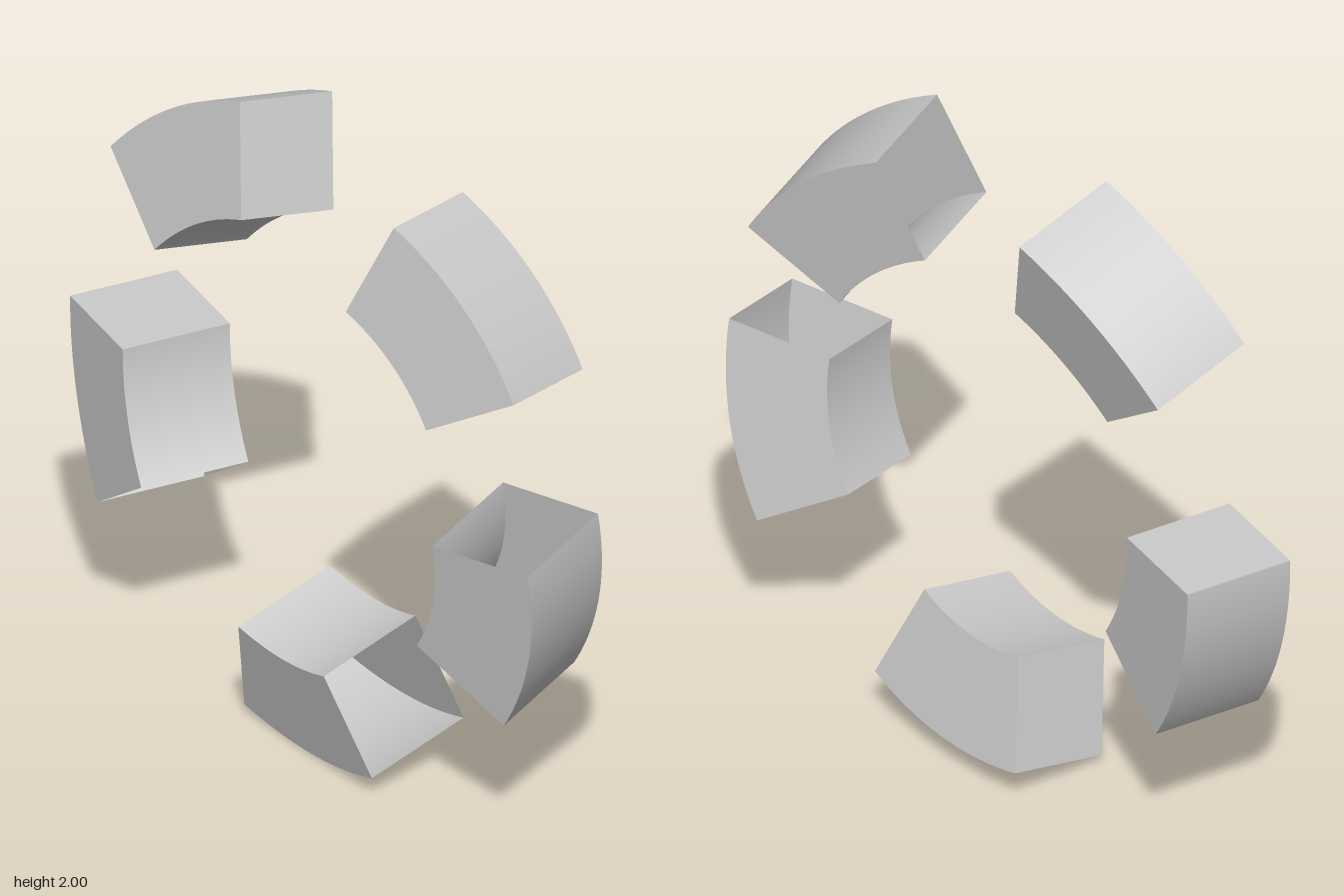
import * as THREE from 'three';
import { mergeGeometries } from 'three/addons/utils/BufferGeometryUtils.js';

const INNER = 0.69, OUTER = 1.03, SIZE = OUTER - INNER;
const HALF = THREE.MathUtils.degToRad(17.3);
const MID = (INNER + OUTER) / 2;

// Curved square duct about the x axis: open at +y, capped at -y, outer wall towards +z
function ductGeometry() {
  const parts = [];
  // curved walls
  for (const r of [INNER, OUTER]) {
    parts.push(new THREE.CylinderGeometry(r, r, SIZE, 24, 1, true, -HALF, 2 * HALF).rotateZ(Math.PI / 2));
  }
  // flat side walls
  for (const side of [-1, 1]) {
    parts.push(new THREE.RingGeometry(INNER, OUTER, 24, 1, -HALF, 2 * HALF)
      .rotateY(side * Math.PI / 2)
      .scale(1, 1, 1));
    if (side === 1) parts.at(-1).rotateY(Math.PI);
    parts.at(-1).translate(side * SIZE / 2, 0, 0);
  }
  // end cap
  parts.push(new THREE.PlaneGeometry(SIZE, SIZE)
    .rotateX(Math.PI / 2 + HALF)
    .translate(0, -MID * Math.sin(HALF), MID * Math.cos(HALF)));
  return mergeGeometries(parts).translate(0, 0, -MID * Math.cos(HALF));
}

// Position, width axis and outward direction of each segment
const SEGMENTS = [
  ['bottomSegment', [-0.03, 0.247, 0], [0.95, 0.245, -0.19], [0.248, -0.968, 0.023]],
  ['lowerFrontSegment', [0.155, 0.806, 0.689], [0.88, 0.155, -0.45], [0.47, -0.247, 0.848]],
  ['upperFrontSegment', [0.096, 1.589, 0.479], [0.875, -0.122, -0.468], [0.392, 0.738, 0.546]],
  ['upperBackSegment', [-0.149, 1.663, -0.454], [0.955, -0.24, -0.185], [0.093, 0.784, -0.613]],
  ['lowerBackSegment', [-0.232, 0.8, -0.745], [1, -0.005, 0], [0, -0.3, -0.954]],
];

export function createModel() {
  const group = new THREE.Group();
  group.name = 'segmentedRing';
  const geometry = ductGeometry();
  const material = new THREE.MeshStandardMaterial({ color: 0xcccccc, side: THREE.DoubleSide });

  for (const [name, position, axis, outward] of SEGMENTS) {
    const a = new THREE.Vector3(...axis).normalize();
    const t = new THREE.Vector3(...outward).cross(a).normalize();
    const m = a.clone().cross(t);
    const mesh = new THREE.Mesh(geometry, material);
    mesh.name = name;
    mesh.quaternion.setFromRotationMatrix(new THREE.Matrix4().makeBasis(a, t, m));
    mesh.position.set(...position);
    group.add(mesh);
  }
  return group;
}
